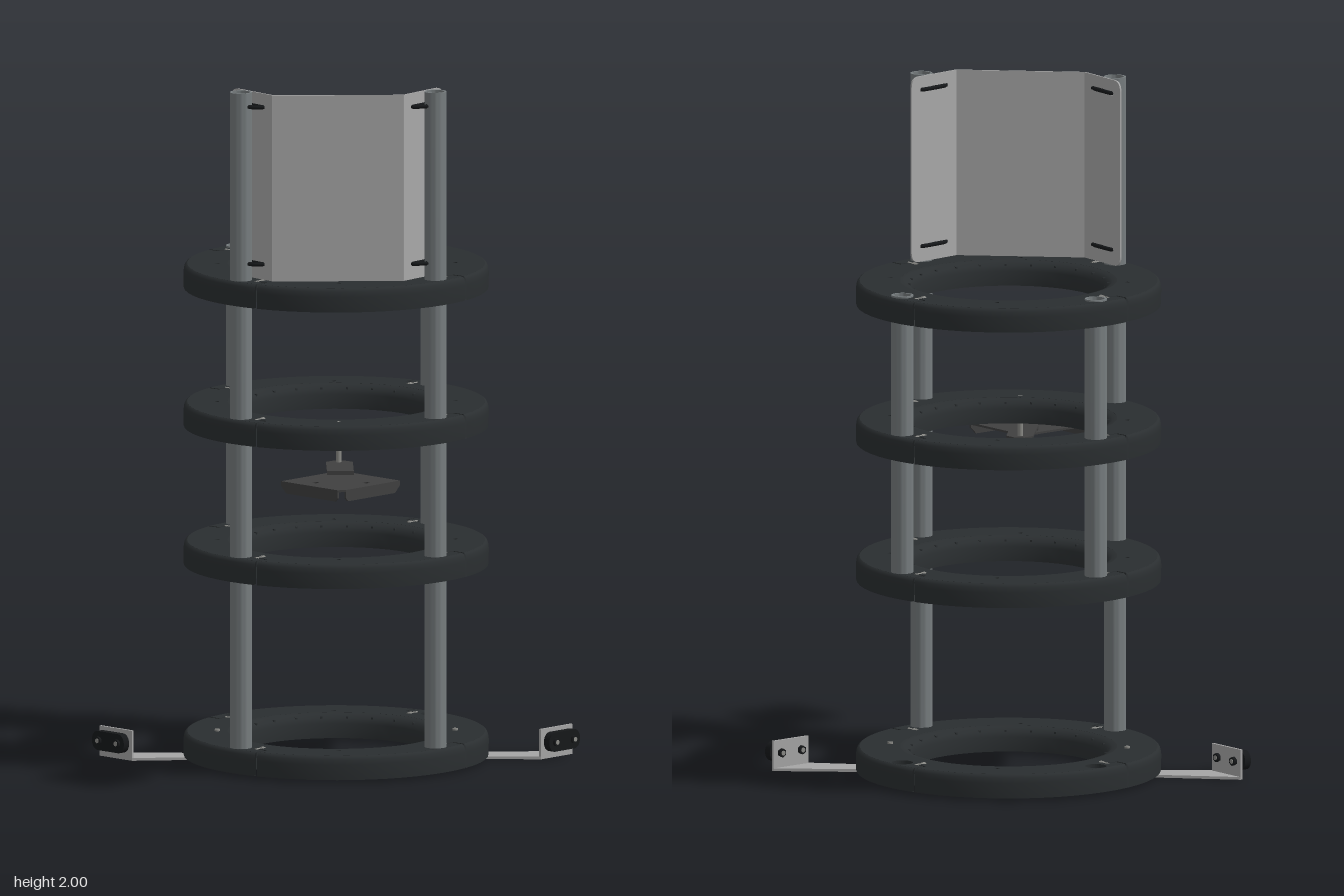
import * as THREE from 'three';
import { mergeGeometries, toCreasedNormals } from 'three/addons/utils/BufferGeometryUtils.js';

const CX = 0.013, CZ = -0.016;        // axis of the ring stack
const TUBE_R = 0.032, TUBE_AT = 0.397; // tube radius, distance from the axis
const mat = (color) => new THREE.MeshStandardMaterial({ color, side: THREE.DoubleSide });
const M = {
  ring: mat(0x2a2e30), tube: mat(0x777d7f), panel: mat(0xaaaaaa), plate: mat(0xa6a6a6),
  shelf: mat(0x404040), black: mat(0x16181a), bolt: mat(0x8a8a86),
};
const V2 = (a) => a.map(([x, y]) => new THREE.Vector2(x, y));

function add(parent, name, geo, material, x = 0, y = 0, z = 0) {
  const m = new THREE.Mesh(geo, material);
  m.name = name;
  m.position.set(x, y, z);
  parent.add(m);
  return m;
}

// Flat plate lying in xz; shape y stands for -z
function flat(shape, depth) {
  return new THREE.ExtrudeGeometry(shape, { depth, bevelEnabled: false, curveSegments: 16 }).rotateX(-Math.PI / 2);
}
const polygon = (pts) => new THREE.Shape(V2(pts.map(([x, z]) => [x, -z])));
const hole = (x, y, r) => new THREE.Path().absarc(x, y, r, 0, Math.PI * 2, true);

function lathe(pts, segs, start, len) {
  return toCreasedNormals(new THREE.LatheGeometry(V2(pts), segs, start, len), 0.6);
}

// One clamp ring: split outer rim, rounded inner rim, top web, ribs, sockets
function ringGeometry() {
  const parts = [], R = 0.43, q = Math.PI / 2, slit = 0.21, half = 0.009;
  const outer = [[0.44, 0], [0.441, 0.045], [0.439, 0.06], [0.435, 0.067], [R, 0.07], [R, 0.062], [0.432, 0.05], [0.432, 0], [0.44, 0]];
  const inner = [[0.315, 0.07], [0.3, 0.067], [0.285, 0.057], [0.278, 0.042], [0.277, 0], [0.284, 0], [0.285, 0.042], [0.3, 0.06], [0.315, 0.062], [0.315, 0.07]];
  for (let k = 0; k < 4; k++) parts.push(lathe(outer, 14, slit + half + k * q, q - 2 * half));
  parts.push(lathe(inner, 40));

  // web with an L-shaped slit beside every tube
  const web = new THREE.Shape();
  for (let k = 0; k < 4; k++) {
    const c = Math.cos(k * q), s = Math.sin(k * q);
    web.absarc(0, 0, R, k * q - q + slit + half, k * q + slit - half, false);
    for (const [r, t] of [[0.388, 0.083], [0.388, 0.04], [0.382, 0.04], [0.382, 0.091]])
      web.lineTo(r * c - t * s, r * s + t * c);
    web.holes.push(hole(TUBE_AT * c, TUBE_AT * s, 0.031));
    web.holes.push(hole(0.344 * Math.cos(k * q + q / 2), 0.344 * Math.sin(k * q + q / 2), 0.007));
  }
  web.holes.push(hole(0, 0, 0.314));
  parts.push(flat(web, 0.008).translate(0, 0.062, 0).deleteAttribute('uv'));

  for (let i = 0; i < 24; i++) {
    parts.push(new THREE.BoxGeometry(0.148, 0.052, 0.006)
      .translate(0.358, 0.036, 0).rotateY((i + 0.5) * Math.PI / 12).toNonIndexed());
  }
  for (let k = 0; k < 4; k++) {
    parts.push(new THREE.CylinderGeometry(0.037, 0.037, 0.06, 20, 1, true)
      .translate(TUBE_AT, 0.034, 0).rotateY(k * q).toNonIndexed());
  }
  parts.forEach((g) => g.deleteAttribute('uv'));
  return mergeGeometries(parts);
}

function addRings(root) {
  const geo = ringGeometry();
  for (const y of [0.01, 0.57, 0.975, 1.38]) {
    const g = new THREE.Group();
    g.name = 'clampRing';
    g.position.set(CX, y, CZ);
    add(g, 'ringBody', geo, M.ring);
    // clamp screws beside the tubes
    for (let k = 0; k < 4; k++) {
      const clamp = new THREE.Group();
      clamp.name = 'clampScrew';
      clamp.rotation.y = k * Math.PI / 2;
      add(clamp, 'screwShank', new THREE.CylinderGeometry(0.006, 0.006, 0.04, 10).rotateX(Math.PI / 2), M.bolt, 0.052, 0.066, 0.372);
      add(clamp, 'screwNut', new THREE.CylinderGeometry(0.012, 0.012, 0.012, 6).rotateX(Math.PI / 2), M.bolt, 0.052, 0.062, 0.362);
      g.add(clamp);
    }
    root.add(g);
  }
}

function addTubes(root) {
  const tube = (name, x, z, y0, y1) => {
    const r = TUBE_R, i = 0.026;
    add(root, name, lathe([[r, y0], [r, y1], [i, y1], [i, y0], [r, y0]], 28), M.tube, CX + x, 0, CZ + z);
  };
  tube('frontTube', 0, TUBE_AT, 0.008, 2);
  tube('rightTube', -TUBE_AT, 0, 0.008, 2);
  tube('backTube', 0, -TUBE_AT, 0.57, 1.455);
  tube('leftTube', TUBE_AT, 0, 0.57, 1.455);
}

// Upright sheet from p to q (xz); corners rounded at its start (-1) or end (1)
function sheet(root, name, p, q, roundEnd) {
  const dx = q[0] - p[0], dz = q[1] - p[1], L = Math.hypot(dx, dz), H = 0.545, r = 0.03;
  const a = roundEnd < 0 ? r : 0, b = roundEnd > 0 ? r : 0;
  const s = new THREE.Shape();
  s.moveTo(a, 0).lineTo(L - b, 0).quadraticCurveTo(L, 0, L, b).lineTo(L, H - b)
    .quadraticCurveTo(L, H, L - b, H).lineTo(a, H).quadraticCurveTo(0, H, 0, H - a)
    .lineTo(0, a).quadraticCurveTo(0, 0, a, 0);
  const g = new THREE.Group();
  g.name = name;
  g.position.set(p[0], 1.455, p[1]);
  g.rotation.y = Math.atan2(-dz, dx);
  const mid = L / 2;
  if (roundEnd) for (const y of [0.045, 0.505]) {
    const slot = new THREE.Path();
    slot.absarc(mid - 0.05, y, 0.006, Math.PI / 2, Math.PI * 1.5, false);
    slot.absarc(mid + 0.05, y, 0.006, -Math.PI / 2, Math.PI / 2, false);
    s.holes.push(slot);
    // strap through the slot and across the tube
    const pts = [[-0.05, 0], [-0.02, 0.028], [0.025, 0.028], [0.05, 0], [0, -0.005]];
    const path = new THREE.CatmullRomCurve3(pts.map(([x, z]) => new THREE.Vector3(mid + x, y, z)), true);
    add(g, 'strap', new THREE.TubeGeometry(path, 32, 0.006, 6, true), M.black);
  }
  add(g, 'sheet', new THREE.ExtrudeGeometry(s, { depth: 0.005, bevelEnabled: false }), M.panel, 0, 0, -0.0025);
  root.add(g);
}

// Foot bracket; mirrored copies swap across the diagonal of the ring
function addBracket(root, mirrored) {
  const g = new THREE.Group();
  g.name = mirrored ? 'backBracket' : 'frontBracket';
  g.position.set(CX, 0, CZ);
  const map = ([u, v]) => (mirrored ? [-v, -u] : [u, v]);
  const put = (name, geo, m, u, y, v) => {
    const [x, z] = map([u, v]);
    add(g, name, mirrored ? geo.rotateY(Math.PI / 2) : geo, m, x, y, z);
  };
  const arm = [[0.205, 0.255], [0.255, 0.2], [0.327, 0.276], [0.512, 0.446], [0.512, 0.454], [0.382, 0.454], [0.287, 0.346]];
  add(g, 'arm', flat(polygon(arm.map(map)), 0.008), M.plate, 0, 0.002, 0);
  put('uprightPlate', new THREE.BoxGeometry(0.13, 0.08, 0.008), M.plate, 0.447, 0.05, 0.45);
  const pad = new THREE.Shape();
  pad.absarc(-0.05, 0, 0.028, Math.PI / 2, Math.PI * 1.5, false);
  pad.absarc(0.05, 0, 0.028, -Math.PI / 2, Math.PI / 2, false);
  put('pad', new THREE.ExtrudeGeometry(pad, { depth: 0.022, bevelEnabled: false }).translate(0, 0, -0.011).scale(0.82, 1, 1), M.black, 0.447, 0.053, 0.475);
  for (const du of [-0.037, 0.037]) {
    put('padBolt', new THREE.CylinderGeometry(0.007, 0.007, 0.06, 12).rotateX(Math.PI / 2), M.bolt, 0.447 + du, 0.053, 0.464);
    put('padNut', new THREE.CylinderGeometry(0.013, 0.013, 0.01, 6).rotateX(Math.PI / 2), M.black, 0.447 + du, 0.053, 0.441);
    put('padBoltHead', new THREE.CylinderGeometry(0.012, 0.012, 0.008, 16).rotateX(Math.PI / 2), M.black, 0.447 + du, 0.053, 0.489);
  }
  put('armBolt', new THREE.CylinderGeometry(0.008, 0.008, 0.083, 12), M.bolt, 0.243, 0.044, 0.243);
  root.add(g);
}

// Square shelf with two down-turned lips on a short diagonal arm
function addShelf(root) {
  const g = new THREE.Group();
  g.name = 'shelf';
  const top = polygon([[-0.53, 0.285], [-0.34, 0.285], [-0.285, 0.34], [-0.285, 0.525], [-0.51, 0.525], [-0.53, 0.51]]);
  top.holes.push(hole(-0.48, -0.375, 0.01), hole(-0.38, -0.48, 0.01));
  add(g, 'shelfPlate', flat(top, 0.006), M.shelf, 0, 0.908, 0);
  const corner = polygon([[-0.345, 0.284], [-0.284, 0.284], [-0.284, 0.345]]);
  add(g, 'shelfCorner', flat(corner, 0.006), M.shelf, 0, 0.908, 0);
  const lip = new THREE.Shape(V2([[-0.51, 0.912], [-0.285, 0.912], [-0.285, 0.9], [-0.305, 0.88], [-0.5, 0.88], [-0.51, 0.89]]));
  const lipGeo = new THREE.ExtrudeGeometry(lip, { depth: 0.006, bevelEnabled: false });
  add(g, 'frontLip', lipGeo, M.shelf, 0, 0, 0.519);
  add(g, 'sideLip', lipGeo.clone().rotateY(Math.PI / 2), M.shelf, -0.53, 0, 0);
  const arm = polygon([[-0.365, 0.31], [-0.31, 0.365], [-0.2, 0.255], [-0.2, 0.22], [-0.22, 0.2], [-0.255, 0.2]]);
  add(g, 'shelfArm', flat(arm, 0.006), M.shelf, 0, 0.92, 0);
  add(g, 'shelfStep', new THREE.BoxGeometry(0.078, 0.016, 0.006).rotateY(-Math.PI / 4), M.shelf, -0.336, 0.917, 0.336);
  add(g, 'shelfPost', new THREE.CylinderGeometry(0.008, 0.008, 0.125, 12), M.bolt, CX - 0.243, 0.982, CZ + 0.243);
  root.add(g);
}

export function createModel() {
  const root = new THREE.Group();
  root.name = 'ringTower';
  addRings(root);
  addTubes(root);
  // folded screen between the two tall tubes
  sheet(root, 'screenSideFlange', [-0.345, -0.09], [-0.36, 0.09], -1);
  sheet(root, 'screenMiddle', [-0.36, 0.09], [-0.095, 0.355], 0);
  sheet(root, 'screenFrontFlange', [-0.095, 0.355], [0.085, 0.34], 1);
  addBracket(root, false);
  addBracket(root, true);
  addShelf(root);
  return root;
}
